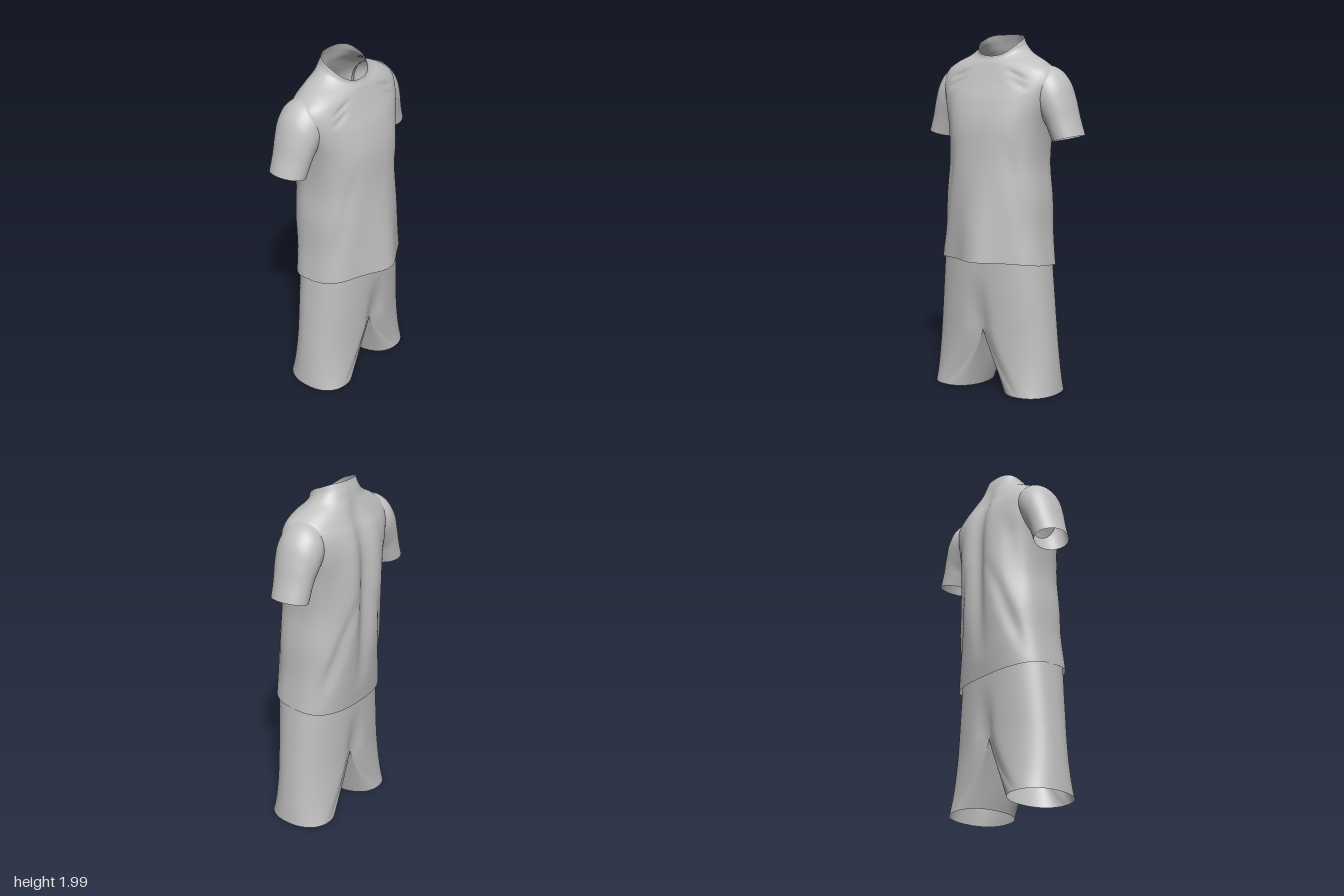
import * as THREE from 'three';
import { mergeGeometries, mergeVertices } from 'three/addons/utils/BufferGeometryUtils.js';

const { lerp, smoothstep, clamp } = THREE.MathUtils;
const signedPow = (v, e) => Math.sign(v) * Math.abs(v) ** e;

// smooth interpolation through a short list of stations, t from 0 to 1
function sampler(stations) {
  const n = stations.length, size = stations[0].length;
  const curve = new THREE.CubicInterpolant(stations.map((_, i) => i / (n - 1)), stations.flat(), size, new Array(size));
  return (t) => Array.from(curve.evaluate(t));
}

// surface of closed rings: point(u around, v upward) returns [x, y, z]
function loft(point, around, rows) {
  const pos = [], index = [];
  for (let i = 0; i <= rows; i++)
    for (let j = 0; j < around; j++) pos.push(...point(j / around, i / rows));
  for (let i = 0; i < rows; i++)
    for (let j = 0; j < around; j++) {
      const a = i * around + j, b = i * around + (j + 1) % around;
      index.push(a, b, b + around, a, b + around, a + around);
    }
  const g = new THREE.BufferGeometry();
  g.setAttribute('position', new THREE.Float32BufferAttribute(pos, 3));
  g.setIndex(index);
  g.computeVertexNormals();
  return g;
}

// mirrored copy of a point function that keeps the faces outward
const mirrored = (point) => (u, v) => {
  const [x, y, z] = point(1 - u, v);
  return [-x, y, z];
};

// shirt rings: half width, front z, back z, front y, back y, front and back roundness, belly drape
const shirtRing = sampler([
  [.33, .202, -.226, .765, .705, 2.9, 2.5, .078],
  [.311, .204, -.25, .92, .90, 2.8, 2.4, .06],
  [.302, .206, -.27, 1.1, 1.1, 2.7, 2.3, .034],
  [.283, .206, -.28, 1.3, 1.3, 2.6, 2.3, .01],
  [.298, .198, -.28, 1.5, 1.5, 2.5, 2.3, 0],
  [.335, .165, -.268, 1.64, 1.64, 2.4, 2.3, 0],
  [.358, .125, -.243, 1.74, 1.74, 2.4, 2.4, 0],
  [.335, .10, -.215, 1.805, 1.805, 2.4, 2.4, 0],
  [.272, .086, -.195, 1.842, 1.86, 2.2, 2.2, 0],
  [.195, .077, -.18, 1.86, 1.908, 2, 2, 0],
  [.146, .071, -.165, 1.872, 1.955, 2, 2.2, 0],
  [.128, .067, -.146, 1.885, 2.0, 2.3, 2.4, 0],
]);

// folds, same on both sides: start x, y, end x, y, width, depth, front (1) or back (-1)
const folds = [
  [0, .8, 0, 2.0, .05, -.036, -1],
  [.13, .95, .10, 1.85, .05, .009, -1],
  [.08, 1.4, .27, .85, .03, -.014, -1],
  [.14, 1.15, .29, .75, .03, -.01, -1],
  [.21, 1.65, .25, 1.05, .035, -.012, -1],
  [.17, 1.45, .29, .8, .03, -.012, 1],
  [.25, 1.7, .22, 1.2, .03, -.007, 1],
  [.11, 1.815, .25, 1.755, .014, -.008, 1],
  [.13, 1.775, .27, 1.70, .014, -.007, 1],
];
function foldDepth(x, y, side) {
  let sum = 0;
  for (const [x0, y0, x1, y1, width, depth, s] of folds) {
    if (s !== side) continue;
    const dx = x1 - x0, dy = y1 - y0;
    const t = clamp(((x - x0) * dx + (y - y0) * dy) / (dx * dx + dy * dy), 0, 1);
    const d2 = (x - x0 - t * dx) ** 2 + (y - y0 - t * dy) ** 2;
    sum += depth * Math.sin(Math.PI * t) * Math.exp(-d2 / (width * width));
  }
  return sum;
}

function shirtPoint(u, v) {
  const [w, zf, zb, yf, yb, pf, pb, drape] = shirtRing(v);
  const a = u * Math.PI * 2, s = Math.sin(a), c = Math.cos(a);
  const e = 2 / (c > 0 ? pf : pb), zc = -.04;
  const x = w * signedPow(s, e);
  const y = lerp(yf, yb, 1 - (1 - (1 - c) / 2) ** lerp(1, 1.7, v));
  let z = zc + (c > 0 ? zf - zc : zc - zb) * signedPow(c, e);
  if (c > 0) z += drape * Math.exp(-(((x - .02) / .125) ** 2));
  z += Math.sign(c) * Math.min(1, Math.abs(c) * 2) * foldDepth(Math.abs(x), y, c > 0 ? 1 : -1);
  return [x, y, z];
}

// sleeve rings from hem to shoulder: outer x, y, inner x, y, centre z, half depth
const sleeveRing = sampler([
  [.50, 1.46, .33, 1.42, -.083, .107],
  [.467, 1.56, .315, 1.46, -.08, .112],
  [.44, 1.66, .30, 1.50, -.077, .12],
  [.402, 1.755, .275, 1.54, -.076, .129],
  [.335, 1.822, .25, 1.58, -.076, .128],
  [.24, 1.845, .21, 1.62, -.076, .10],
]);
function sleevePoint(u, v) {
  const [ox, oy, ix, iy, zc, dz] = sleeveRing(v);
  const a = u * Math.PI * 2, k = (1 + Math.sin(a)) / 2;
  return [lerp(ix, ox, k), lerp(iy, oy, k), zc + dz * Math.cos(a)];
}

// shorts outline at angle a and height y, with a centre crease toward the crotch
const CROTCH = .37, WAIST = .8, HEM = .01;
const hipWidth = (y) => lerp(.39, .318, (y / WAIST) ** 1.1);
function hipPoint(a, y) {
  const s = Math.sin(a), c = Math.cos(a), t = y / WAIST, zc = -.02, e = 2 / 2.4;
  const depth = c > 0 ? lerp(.165, .206, t) - zc : zc + lerp(.205, .213, t);
  const x = hipWidth(y) * signedPow(s, e);
  const crease = .2 * (1 - smoothstep(y, CROTCH - .05, .7)) * Math.exp(-((x / .05) ** 2));
  return [x, y, zc + depth * signedPow(c, e) * (1 - crease)];
}

// one leg: outer half of the hip outline closed by an inner wall, turning round at the hem
function legPoint(u, v) {
  const y = lerp(HEM, CROTCH, v), round = (1 - v) ** 1.35;
  const a = u * Math.PI * 2;
  let p;
  if (u <= .5) p = hipPoint(a, y);
  else p = [0, y, lerp(hipPoint(Math.PI, y)[2], hipPoint(0, y)[2], (1 + Math.cos(a)) / 2)];
  const inner = .085, half = (hipWidth(y) - inner) / 2;
  const oval = [inner + half + half * signedPow(Math.sin(a), .9), y, -.02 + .185 * signedPow(Math.cos(a), .9)];
  return p.map((k, i) => lerp(k, oval[i], round));
}

export function createModel() {
  const model = new THREE.Group();
  const fabric = new THREE.MeshStandardMaterial({ color: 0xc0c0c0, side: THREE.DoubleSide });
  fabric.name = 'grey fabric';
  const add = (name, geometry, parent) => {
    const mesh = new THREE.Mesh(geometry, fabric);
    mesh.name = name;
    parent.add(mesh);
  };

  // shirt with open collar and hem, and two short sleeves
  const shirt = new THREE.Group();
  shirt.name = 'shirt';
  add('shirtBody', loft(shirtPoint, 128, 100), shirt);
  add('leftSleeve', loft(sleevePoint, 64, 36), shirt);
  add('rightSleeve', loft(mirrored(sleevePoint), 64, 36), shirt);

  // shorts: hips and both legs welded along the crotch line
  const hip = (u, v) => hipPoint(u * Math.PI * 2, lerp(CROTCH, WAIST, v));
  const parts = [loft(hip, 96, 30), loft(legPoint, 96, 30), loft(mirrored(legPoint), 96, 30)];
  parts.forEach((g) => g.deleteAttribute('normal'));
  const shorts = mergeVertices(mergeGeometries(parts), 1e-4);
  shorts.computeVertexNormals();
  add('shorts', shorts, model);

  model.add(shirt);
  return model;
}
